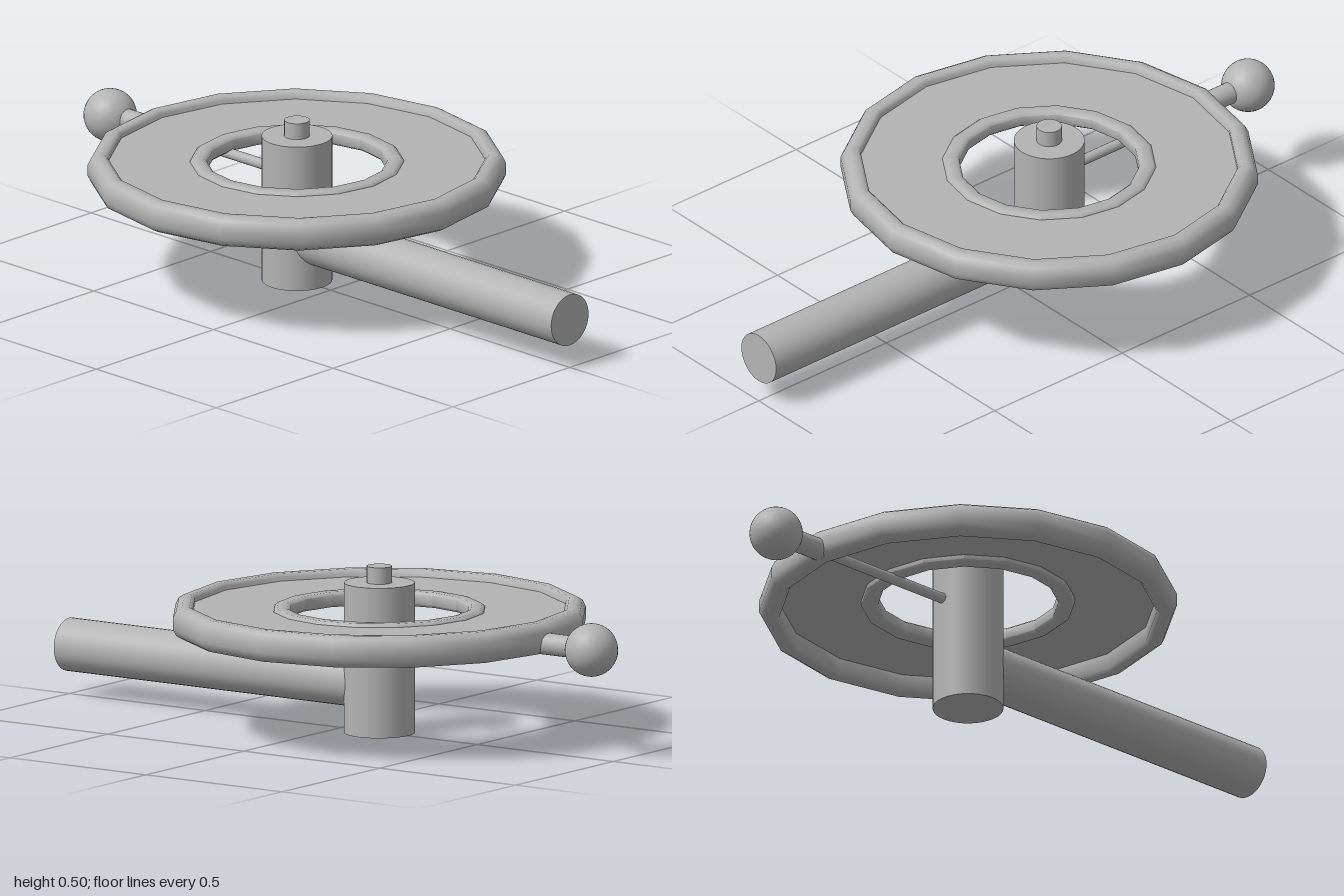
import * as THREE from 'three';
import { toCreasedNormals } from 'three/addons/utils/BufferGeometryUtils.js';

const POST_X = -0.14;

export function createModel() {
  const model = new THREE.Group();
  model.name = 'valve';
  const metal = new THREE.MeshStandardMaterial({ color: 0xb3b3b3 });
  metal.name = 'grey metal';

  const add = (name, geometry, x, y) => {
    const mesh = new THREE.Mesh(geometry, metal);
    mesh.name = name;
    mesh.position.set(x, y, 0);
    model.add(mesh);
  };

  // Horizontal round bar between two x positions
  const bar = (name, radius, x0, x1, y, sides) => {
    const g = new THREE.CylinderGeometry(radius, radius, x1 - x0, sides);
    add(name, g.rotateZ(Math.PI / 2), (x0 + x1) / 2, y);
  };

  // Sixteen-sided ring turned from a closed (radius, height) profile
  const ring = (name, profile) => {
    const points = [...profile, profile[0]].map(([r, y]) => new THREE.Vector2(r, y));
    add(name, toCreasedNormals(new THREE.LatheGeometry(points, 16), 0.9), POST_X, 0);
  };

  // Upright post with its small top pin
  add('post', new THREE.CylinderGeometry(0.106, 0.106, 0.455, 32), POST_X, 0.2275);
  add('topPin', new THREE.CylinderGeometry(0.038, 0.038, 0.07, 24), POST_X, 0.47);

  // Side pipe
  bar('sidePipe', 0.08, POST_X, 1, 0.15, 32);

  // Wheel: rounded rim, thin web and a lip round the central hole
  ring('wheelRim', [
    [0.565, 0.31], [0.575, 0.3], [0.598, 0.3], [0.615, 0.31], [0.625, 0.33],
    [0.625, 0.365], [0.615, 0.385], [0.598, 0.395], [0.575, 0.395], [0.565, 0.385],
  ]);
  ring('wheelWeb', [[0.3, 0.358], [0.58, 0.358], [0.58, 0.373], [0.3, 0.373]]);
  ring('holeLip', [
    [0.27, 0.345], [0.28, 0.337], [0.31, 0.337], [0.32, 0.345],
    [0.32, 0.375], [0.31, 0.383], [0.28, 0.383], [0.27, 0.375],
  ]);

  // Thin spoke under the web, then the handle stub and ball
  bar('spoke', 0.016, -0.71, POST_X, 0.33, 16);
  bar('handleStub', 0.033, -0.88, -0.72, 0.332, 24);
  add('handleBall', new THREE.SphereGeometry(0.08, 32, 20), -0.92, 0.33);

  return model;
}
